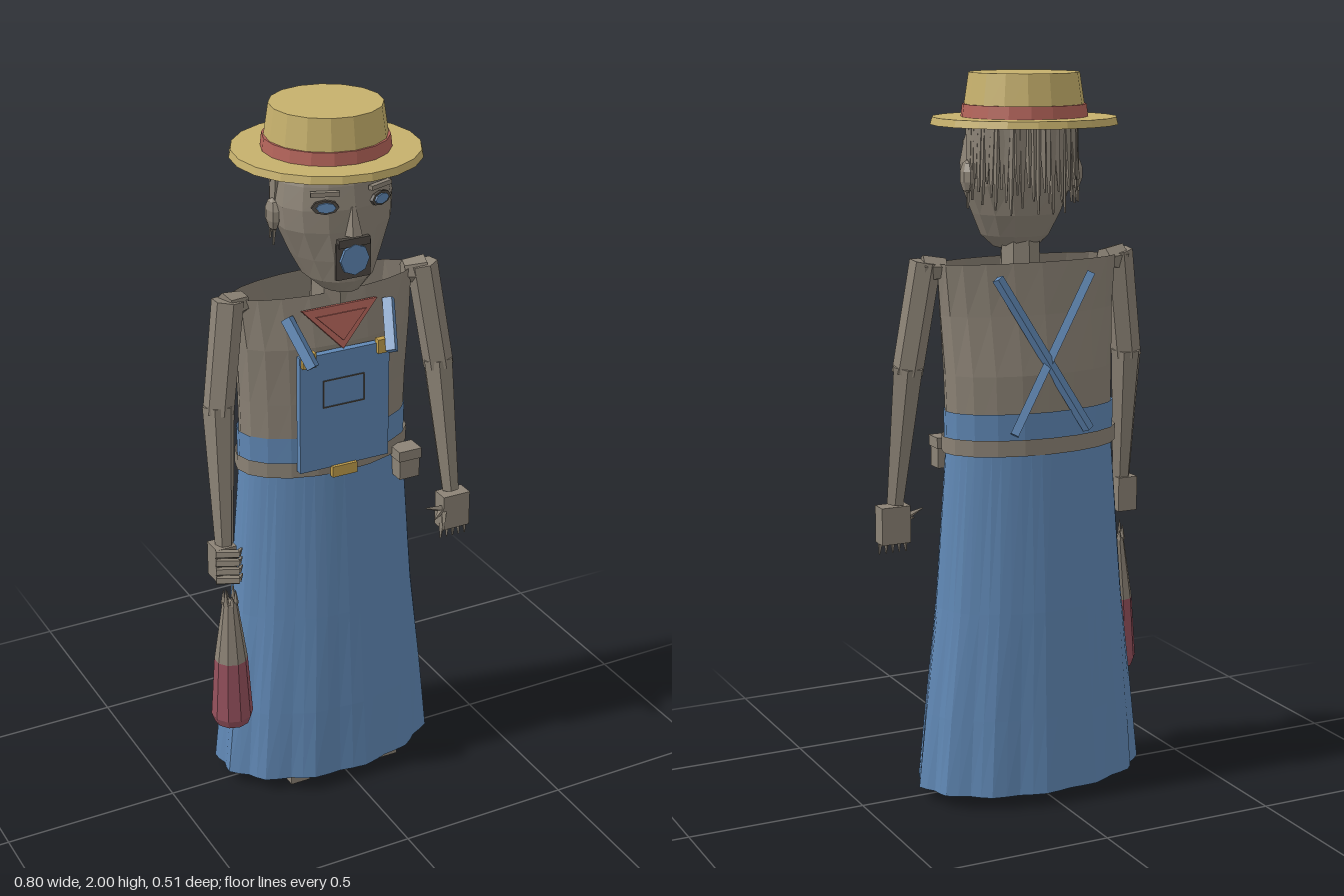
import * as THREE from 'three';

const mat = (name, color, side = THREE.DoubleSide) => {
  const m = new THREE.MeshStandardMaterial({ color, side });
  m.name = name;
  return m;
};

// facet a geometry so every face has its own normal
const flat = (g) => {
  const f = g.index ? g.toNonIndexed() : g;
  f.computeVertexNormals();
  return f;
};

// skin a stack of oval rings [y, cz, rx, rz], bottom to top
function loft(rings, n, { cx = 0, caps = false, wave = () => 1 } = {}) {
  const pos = [], idx = [];
  rings.forEach(([y, cz, rx, rz], i) => {
    for (let j = 0; j < n; j++) {
      const a = (j / n) * Math.PI * 2, k = wave(a, i, j);
      pos.push(cx + rx * k * Math.sin(a), y, cz + rz * k * Math.cos(a));
    }
  });
  for (let i = 0; i < rings.length - 1; i++)
    for (let j = 0; j < n; j++) {
      const a = i * n + j, b = i * n + (j + 1) % n;
      idx.push(a, b, b + n, a, b + n, a + n);
    }
  if (caps) {
    const t = (rings.length - 1) * n;
    for (let j = 1; j < n - 1; j++) idx.push(0, j + 1, j, t, t + j, t + j + 1);
  }
  const g = new THREE.BufferGeometry();
  g.setAttribute('position', new THREE.Float32BufferAttribute(pos, 3));
  g.setIndex(idx);
  return flat(g);
}

// tapered rod between two points
function rod(p, q, r1, r2, sides = 6) {
  const a = new THREE.Vector3(...p), b = new THREE.Vector3(...q), d = b.clone().sub(a);
  const g = new THREE.CylinderGeometry(r2, r1, d.length(), sides);
  g.applyQuaternion(new THREE.Quaternion().setFromUnitVectors(new THREE.Vector3(0, 1, 0), d.normalize()));
  const c = a.add(b).multiplyScalar(0.5);
  return flat(g.translate(c.x, c.y, c.z));
}

const box = (w, h, d, x, y, z) => new THREE.BoxGeometry(w, h, d).translate(x, y, z);
const cyl = (rt, rb, y0, y1, n, x = 0, z = 0) =>
  flat(new THREE.CylinderGeometry(rt, rb, y1 - y0, n).translate(x, (y0 + y1) / 2, z));

export function createModel() {
  const model = new THREE.Group();
  const grey = mat('weathered grey', 0x8c8376);
  const dark = mat('dark crease', 0x4f4a44);
  const blue = mat('denim blue', 0x6088b5);
  const straw = mat('straw', 0xc6b06c);
  const gold = mat('brass', 0xc29f4c);
  const red = mat('faded red', 0xb4645a);
  const wine = mat('bottle red', 0x94505c);
  const add = (name, geo, material, parent = model) => {
    const m = new THREE.Mesh(geo, material);
    m.name = name;
    parent.add(m);
    return m;
  };
  const group = (name) => {
    const g = new THREE.Group();
    g.name = name;
    model.add(g);
    return g;
  };

  // straw hat
  const hat = group('hat');
  add('hatBrim', cyl(0.25, 0.255, 1.862, 1.882, 20), straw, hat);
  add('hatCrown', cyl(0.15, 0.168, 1.88, 2, 16), straw, hat);
  add('hatBand', cyl(0.168, 0.172, 1.882, 1.916, 18), red, hat);

  // head and face
  const head = group('head');
  add('skull', loft([
    [1.525, 0.065, 0.055, 0.08], [1.56, 0.062, 0.095, 0.1], [1.62, 0.05, 0.125, 0.115],
    [1.7, 0.045, 0.16, 0.12], [1.76, 0.04, 0.165, 0.125], [1.82, 0.035, 0.155, 0.12], [1.87, 0.03, 0.14, 0.11],
  ], 14, { caps: true }), grey, head);
  add('neck', cyl(0.055, 0.06, 1.4, 1.56, 8, 0, 0.025), grey, head);
  add('nose', rod([-0.005, 1.765, 0.158], [-0.005, 1.69, 0.168], 0.009, 0.024, 5), grey, head);
  add('moustache', box(0.09, 0.022, 0.02, -0.005, 1.672, 0.162), dark, head);
  add('mouth', box(0.1, 0.1, 0.008, -0.005, 1.622, 0.162), dark, head);
  const tongue = new THREE.CylinderGeometry(0.042, 0.042, 0.009, 8).rotateX(Math.PI / 2);
  add('tongue', flat(tongue.translate(-0.005, 1.625, 0.17)), blue, head);
  for (const s of [-1, 1]) {
    add('ear', flat(new THREE.SphereGeometry(1, 7, 5).scale(0.018, 0.045, 0.032).translate(s * 0.163, 1.725, 0.015)), grey, head);
    const eye = (r, z) => flat(new THREE.CylinderGeometry(r, r, 0.009, 8).rotateX(Math.PI / 2)
      .scale(1.5, 0.8, 1).rotateY(s * 0.35).translate(s * 0.08, 1.773, z));
    add('eyeSocket', eye(0.024, 0.15), dark, head);
    add('eye', eye(0.017, 0.155), blue, head);
    add('eyebrow', box(0.075, 0.012, 0.014, 0, 0, 0).rotateY(s * 0.35).translate(s * 0.08, 1.808, 0.148), grey, head);
  }

  // ragged hair hanging around the back of the head
  const hair = group('hair');
  for (let i = 0; i < 34; i++) {
    const a = Math.PI * (0.5 + i / 33), k = (i * 7) % 11 / 11;
    const x = Math.sin(a), z = Math.cos(a);
    const low = 1.61 + 0.09 * k + 0.03 * Math.abs(x);
    add('hairStrand', rod([x * 0.15, 1.865, 0.02 + z * 0.115],
      [x * 0.162, low, 0.015 + z * (0.115 + 0.012 * k)], 0.014, 0.003, 4), grey, hair);
  }

  // torso, waistband and belt
  add('torso', loft([
    [1.02, -0.028, 0.245, 0.13], [1.2, -0.025, 0.25, 0.128], [1.36, -0.015, 0.258, 0.113], [1.5, -0.02, 0.27, 0.09],
  ], 20), grey);
  add('waistband', loft([[1.0, -0.03, 0.25, 0.137], [1.1, -0.03, 0.252, 0.137]], 20), blue);
  add('belt', loft([[0.985, -0.03, 0.258, 0.146], [1.03, -0.03, 0.258, 0.146]], 20), grey);
  add('beltBuckle', box(0.075, 0.032, 0.015, -0.008, 0.997, 0.122), gold);
  add('pouch', box(0.062, 0.07, 0.05, 0.2, 0.953, 0.095), grey);
  add('pouchFlap', box(0.07, 0.03, 0.058, 0.2, 0.99, 0.095), grey);

  // long pleated skirt, open at the hem
  const pleat = (a, i) => 1 + 0.009 * i * Math.sin(a * 13);
  const skirt = loft([
    [0.035, -0.025, 0.33, 0.198], [0.25, -0.025, 0.31, 0.188], [0.55, -0.028, 0.277, 0.172], [1.0, -0.03, 0.245, 0.14],
  ], 52, { wave: (a, i) => pleat(a, 3 - i) });
  add('skirt', skirt, blue);

  // bib with outlined pocket
  const bib = group('bib');
  add('bibPanel', box(0.27, 0.34, 0.02, -0.005, 1.18, 0.11), blue, bib);
  for (const s of [-1, 1]) {
    add('pocketSeam', box(0.122, 0.003, 0.004, -0.008, 1.232 + s * 0.039, 0.121), dark, bib);
    add('pocketSeam', box(0.003, 0.08, 0.004, -0.008 + s * 0.061, 1.232, 0.121), dark, bib);
    add('strapBuckle', box(0.04, 0.04, 0.02, -0.003 + s * 0.113, 1.343, 0.122), gold, bib);
    add('frontStrap', rod([s * 0.118, 1.335, 0.155], [s * 0.152, 1.45, 0.07], 0.019, 0.019, 4), blue, bib);
    add('backStrap', rod([s * 0.14, 1.465, -0.125], [-s * 0.11, 1.045, -0.168 - s * 0.004], 0.016, 0.016, 4), blue, bib);
  }

  // neckerchief with a darker fold
  const scarf = (w, top, tip, d) => {
    const s = new THREE.Shape();
    s.moveTo(-w, top);
    s.lineTo(0, tip);
    s.lineTo(w, top);
    return new THREE.ExtrudeGeometry(s, { depth: d, bevelEnabled: false }).rotateX(-0.18);
  };
  add('neckerchief', scarf(0.112, 0.06, -0.06, 0.012).translate(-0.005, 1.408, 0.09), red);
  add('neckerchiefFold', scarf(0.075, 0.04, -0.035, 0.008).translate(-0.005, 1.408, 0.099), red);

  // arms
  for (const s of [-1, 1]) {
    const arm = group(s > 0 ? 'leftArm' : 'rightArm');
    const elbow = [s * 0.338, 1.2, 0.03], wrist = [s * 0.355, 0.83, 0.085];
    add('shoulder', rod([s * 0.24, 1.485, -0.01], [s * 0.3, 1.485, 0.005], 0.03, 0.04), grey, arm);
    add('upperArm', rod([s * 0.292, 1.505, 0.005], elbow, 0.043, 0.042), grey, arm);
    add('forearm', rod([s * 0.336, 1.22, 0.027], wrist, 0.045, 0.026), grey, arm);
  }

  // open left hand
  const leftHand = group('leftHand');
  add('palm', box(0.085, 0.105, 0.05, 0.36, 0.77, 0.09), grey, leftHand);
  for (let i = 0; i < 5; i++)
    add('finger', rod([0.324 + i * 0.018, 0.73, 0.095], [0.318 + i * 0.02, 0.685, 0.1], 0.009, 0.002, 4), grey, leftHand);
  for (let i = 0; i < 3; i++)
    add('thumb', rod([0.325, 0.78, 0.1], [0.262 + i * 0.018, 0.8 - i * 0.03, 0.11 + i * 0.02], 0.012, 0.002, 4), grey, leftHand);

  // curled right hand
  const rightHand = group('rightHand');
  add('palm', box(0.06, 0.1, 0.06, -0.362, 0.785, 0.085), grey, rightHand);
  for (let i = 0; i < 4; i++) {
    add('finger', rod([-0.395, 0.825 - i * 0.027, 0.115], [-0.335, 0.82 - i * 0.027, 0.135], 0.013, 0.012, 5), grey, rightHand);
    add('fingerTip', rod([-0.335, 0.82 - i * 0.027, 0.13], [-0.31, 0.815 - i * 0.027, 0.1], 0.01, 0.003, 4), grey, rightHand);
  }

  // hanging bottle with a ragged neck
  const bottle = group('bottle');
  add('bottleBase', loft([
    [0.265, 0.09, 0.05, 0.05], [0.29, 0.09, 0.059, 0.059], [0.47, 0.09, 0.047, 0.047],
  ], 10, { cx: -0.345, caps: true }), wine, bottle);
  add('bottleNeck', cyl(0.021, 0.047, 0.47, 0.65, 10, -0.345, 0.09), grey, bottle);
  for (let i = 0; i < 6; i++) {
    const a = i * Math.PI / 3, x = -0.345 + 0.017 * Math.sin(a), z = 0.09 + 0.017 * Math.cos(a);
    add('bottleShard', rod([x, 0.645, z], [x, 0.675 + (i % 3) * 0.012, z], 0.009, 0.001, 4), grey, bottle);
  }

  // legs and shoes under the skirt
  for (const s of [-1, 1]) {
    add('leg', rod([s * 0.14, 0.03, -0.01], [s * 0.11, 0.95, -0.03], 0.03, 0.06), grey);
    add('shoe', box(0.06, 0.045, 0.16, s * 0.145, 0.0225, 0.04), grey);
  }
  return model;
}
